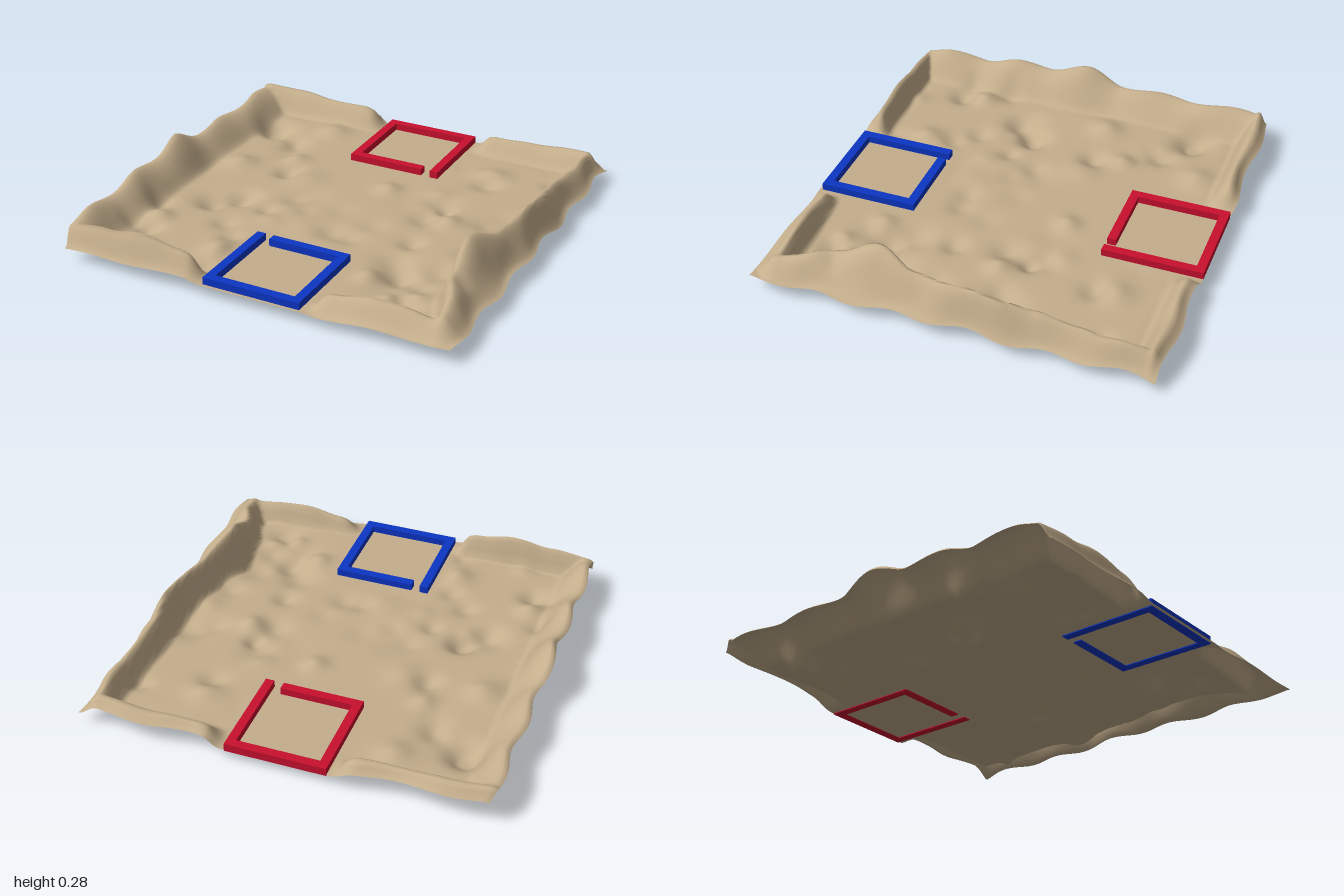
import * as THREE from 'three';

const GROUND = 0.065;
const { smoothstep, lerp, clamp } = THREE.MathUtils;

// Small seeded generator
function seeded(seed) {
  let s = seed;
  return () => (s = (s * 16807) % 2147483647) / 2147483647;
}

// Smooth value along a side, from evenly spaced samples over -1..1
function along(values, t) {
  const f = clamp((t + 1) / 2, 0, 1) * (values.length - 1);
  const i = Math.min(Math.floor(f), values.length - 2);
  return lerp(values[i], values[i + 1], smoothstep(f - i, 0, 1));
}

// Rim sections: crest height and crest distance from the edge, by position;
// slope is the width of the inner bank, edge the share of height kept at the border
const RIMS = {
  left: { height: [.10, .12, .10, .13, .11, .18, .13, .15, .11, .12, .09], inset: [.02, .02], slope: .12, edge: .9 },
  right: { height: [.09, .11, .13, .14, .19, .17, .17, .23, .15, .13, .09], inset: [.09, .08, .09, .10, .08, .10, .13, .19, .17, .11, .09], slope: .07, edge: .08 },
  back: { height: [.12, .12, .10, .11, .02, 0, 0, .07, .09, .10, .10], inset: [.05, .05], slope: .09, edge: .55 },
  front: { height: [.10, .13, .15, .11, .05, 0, 0, .08, .11, .11, .09], inset: [.07, .07, .07, .08, .10, .11], slope: .05, edge: .05 },
};

function rimHeight(side, distance, t) {
  const r = RIMS[side];
  const inset = along(r.inset, t);
  return along(r.height, t) * (1 - smoothstep(distance, inset, inset + r.slope));
}

function rimFall(side, distance, t) {
  const r = RIMS[side];
  return lerp(r.edge, 1, smoothstep(distance, 0, along(r.inset, t)));
}

// Mounds and hollows: x, z, radius, height
function makeBumps() {
  const rnd = seeded(417);
  const bumps = [
    [.10, -.26, .06, .03], [.50, -.62, .08, .03], [.50, -.07, .06, .03],
    [-.46, -.74, .08, .03], [-.59, -.52, .07, -.04], [-.48, -.36, .06, .03],
    [-.50, .13, .06, -.04], [-.75, .50, .06, .03], [-.74, .62, .06, -.04],
    [.52, .48, .07, -.05], [.40, .56, .06, .03], [-.34, .52, .06, -.03],
    [-.33, .66, .07, .03], [.05, .27, .06, -.02], [.15, .27, .06, -.02],
  ];
  for (let i = 0; i < 70; i++) {
    const x = (rnd() * 2 - 1) * .86;
    const z = (rnd() * 2 - 1) * .86;
    const reach = lerp(.35, 1, smoothstep(Math.abs(x), .15, .5));
    bumps.push([x, z, .04 + rnd() * .05, (rnd() < .6 ? -1 : .7) * (.015 + rnd() * .02) * reach]);
  }
  return bumps;
}

// 1 on the level pads under the two enclosures
function padMask(x, z) {
  const dx = Math.max(Math.abs(x - .02) - .25, 0);
  const dz = Math.max(.46 - Math.abs(z), 0);
  return 1 - smoothstep(Math.hypot(dx, dz), 0, .09);
}

function makeTerrain() {
  const bumps = makeBumps();
  const g = new THREE.PlaneGeometry(2, 2, 140, 140);
  g.rotateX(-Math.PI / 2);
  const p = g.attributes.position;
  for (let i = 0; i < p.count; i++) {
    const u = p.getX(i), v = p.getZ(i);
    let x = .015 + u * .965, z = v * .97;
    // Distances from the four borders
    const d = { left: x + .95, right: .98 - x, back: z + .97, front: .97 - z };
    const t = { left: v, right: v, back: u, front: u };
    let rim = 0, fall = 1;
    for (const side of Object.keys(RIMS)) {
      rim = Math.max(rim, rimHeight(side, d[side], t[side]));
      fall *= rimFall(side, d[side], t[side]);
    }
    rim *= Math.max(fall, .06);

    let relief = 0;
    for (const [bx, bz, r, h] of bumps) {
      relief += h * Math.exp(-((x - bx) ** 2 + (z - bz) ** 2) / (r * r));
    }
    const border = Math.min(d.left, d.right, d.back, d.front);
    relief = clamp(relief, -.058, .045) * smoothstep(border, 0, .12);
    relief += .012 * Math.sin(9 * x + 5 * z) * Math.sin(13 * z - 4 * x) * (1 - smoothstep(border, .05, .2));

    const level = 1 - padMask(x, z);
    const y = Math.max(0, GROUND + (rim + relief) * level);

    // Banks lean outward on the left and back; borders wander slightly
    x -= .28 * rim * level * (1 - smoothstep(d.left, 0, .15));
    x += .012 * Math.sin(z * 17) * level * (1 - smoothstep(Math.min(d.left, d.right), 0, .1));
    z -= .10 * rim * level * (1 - smoothstep(d.back, 0, .12));
    z += .012 * Math.sin(x * 13 + 2) * level * (1 - smoothstep(d.back, 0, .1));
    p.setXYZ(i, x, y, z);
  }
  g.computeVertexNormals();
  const mesh = new THREE.Mesh(g, new THREE.MeshStandardMaterial({ color: 0xc4ae8c, side: THREE.DoubleSide }));
  mesh.name = 'terrain';
  return mesh;
}

// Low square enclosure built from bars: [name, x0, x1, z0, z1]
function makeEnclosure(name, color, bars) {
  const group = new THREE.Group();
  group.name = name;
  const material = new THREE.MeshStandardMaterial({ color });
  for (const [part, x0, x1, z0, z1] of bars) {
    const bar = new THREE.Mesh(new THREE.BoxGeometry(x1 - x0, .04, z1 - z0), material);
    bar.position.set((x0 + x1) / 2, .08, (z0 + z1) / 2);
    bar.name = part;
    group.add(bar);
  }
  return group;
}

export function createModel() {
  const model = new THREE.Group();
  model.name = 'arenaField';
  const T = .043, X0 = -.225, X1 = .26;
  model.add(makeTerrain());
  // Back enclosure, opening at its inner corner on +x
  model.add(makeEnclosure('redEnclosure', 0xc8102e, [
    ['rightWall', X0, X0 + T, -.97, -.48],
    ['leftWall', X1 - T, X1, -.97, -.48],
    ['backWall', X0 + T, X1 - T, -.97, -.97 + T],
    ['gateWall', X0 + T, .17, -.48 - T, -.48],
  ]));
  // Front enclosure, opening at its inner corner on -x
  model.add(makeEnclosure('blueEnclosure', 0x0c35c4, [
    ['rightWall', X0, X0 + T, .47, .955],
    ['leftWall', X1 - T, X1, .47, .955],
    ['frontWall', X0 + T, X1 - T, .955 - T, .955],
    ['gateWall', -.14, X1 - T, .47, .47 + T],
  ]));
  return model;
}
